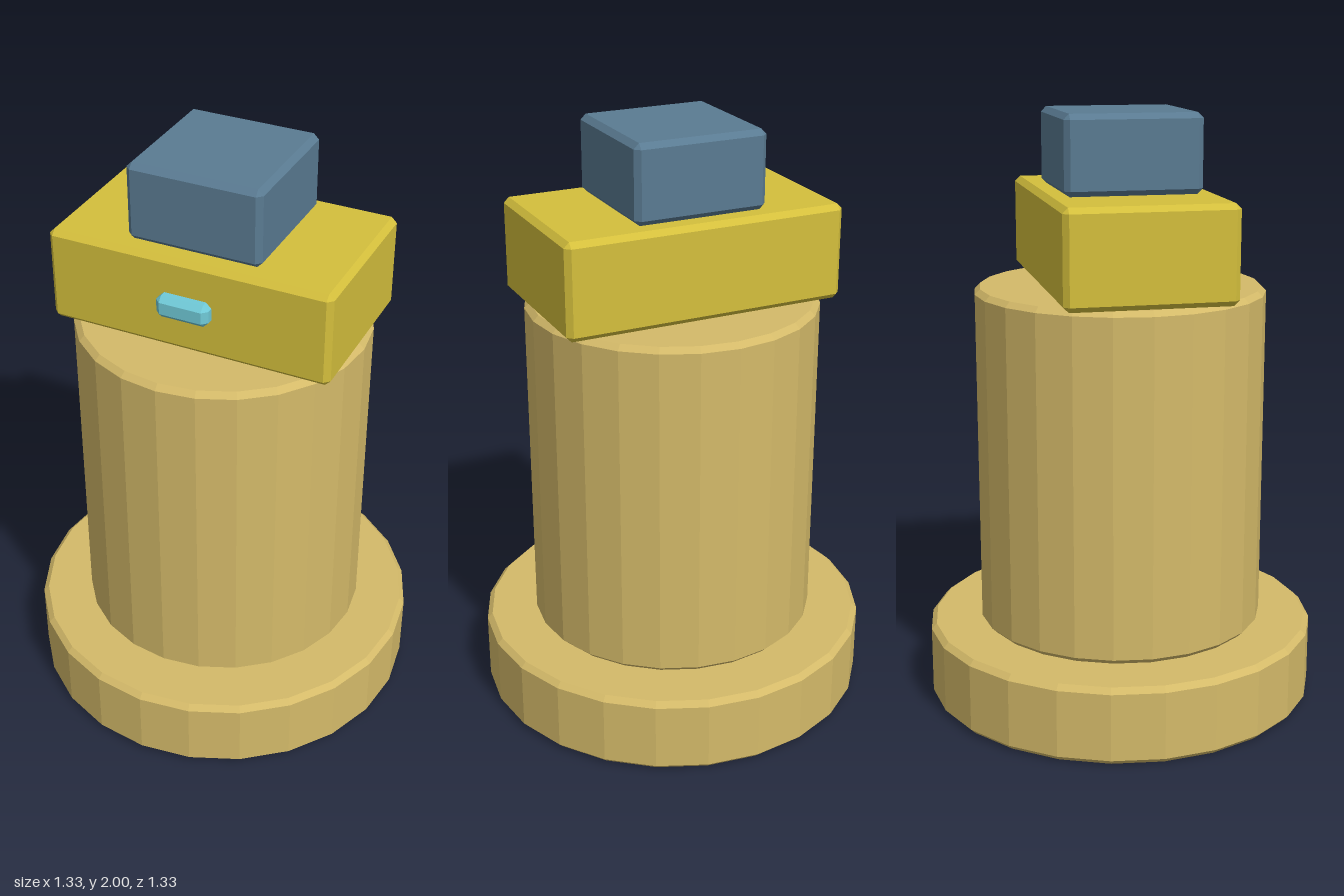
import * as THREE from 'three';
import { ConvexGeometry } from 'three/addons/geometries/ConvexGeometry.js';

const BEVEL = 0.018;
const SIDES = 24;

const material = (name, color) =>
  Object.assign(new THREE.MeshStandardMaterial({ color, flatShading: true }), { name });

// Faceted disc or column with chamfered rims, from y0 to y1
function chamferedCylinder(radius, y0, y1) {
  const profile = [
    [0, y0], [radius - BEVEL, y0], [radius, y0 + BEVEL],
    [radius, y1 - BEVEL], [radius - BEVEL, y1], [0, y1],
  ].map(([r, y]) => new THREE.Vector2(r, y));
  return new THREE.LatheGeometry(profile, SIDES);
}

// Box whose twelve edges are cut by a single chamfer
function chamferedBox(w, h, d) {
  const half = [w / 2, h / 2, d / 2];
  const points = [];
  for (const sx of [-1, 1]) for (const sy of [-1, 1]) for (const sz of [-1, 1]) {
    for (let axis = 0; axis < 3; axis++) {
      const p = half.map((v, i) => (i === axis ? v : v - BEVEL));
      points.push(new THREE.Vector3(sx * p[0], sy * p[1], sz * p[2]));
    }
  }
  return new ConvexGeometry(points);
}

export function createModel() {
  const model = new THREE.Group();
  model.name = 'column';

  const tan = material('tan', 0xd4ba69);
  const yellow = material('yellow', 0xd4bf3c);
  const blue = material('slate blue', 0x5a7b92);
  const cyan = material('cyan', 0x70cad8);

  const add = (name, geometry, mat, x = 0, y = 0, z = 0) => {
    const mesh = new THREE.Mesh(geometry, mat);
    mesh.name = name;
    mesh.position.set(x, y, z);
    model.add(mesh);
  };

  // Round foot and column
  add('base', chamferedCylinder(0.665, 0, 0.263), tan);
  add('body', chamferedCylinder(0.488, 0.263, 1.425), tan);

  // Block head, cap and front button
  add('head', chamferedBox(0.956, 0.318, 0.556), yellow, 0, 1.584, 0);
  add('cap', chamferedBox(0.45, 0.257, 0.45), blue, 0, 1.8715, 0);
  add('button', chamferedBox(0.178, 0.076, 0.08), cyan, 0, 1.585, 0.276);

  return model;
}
